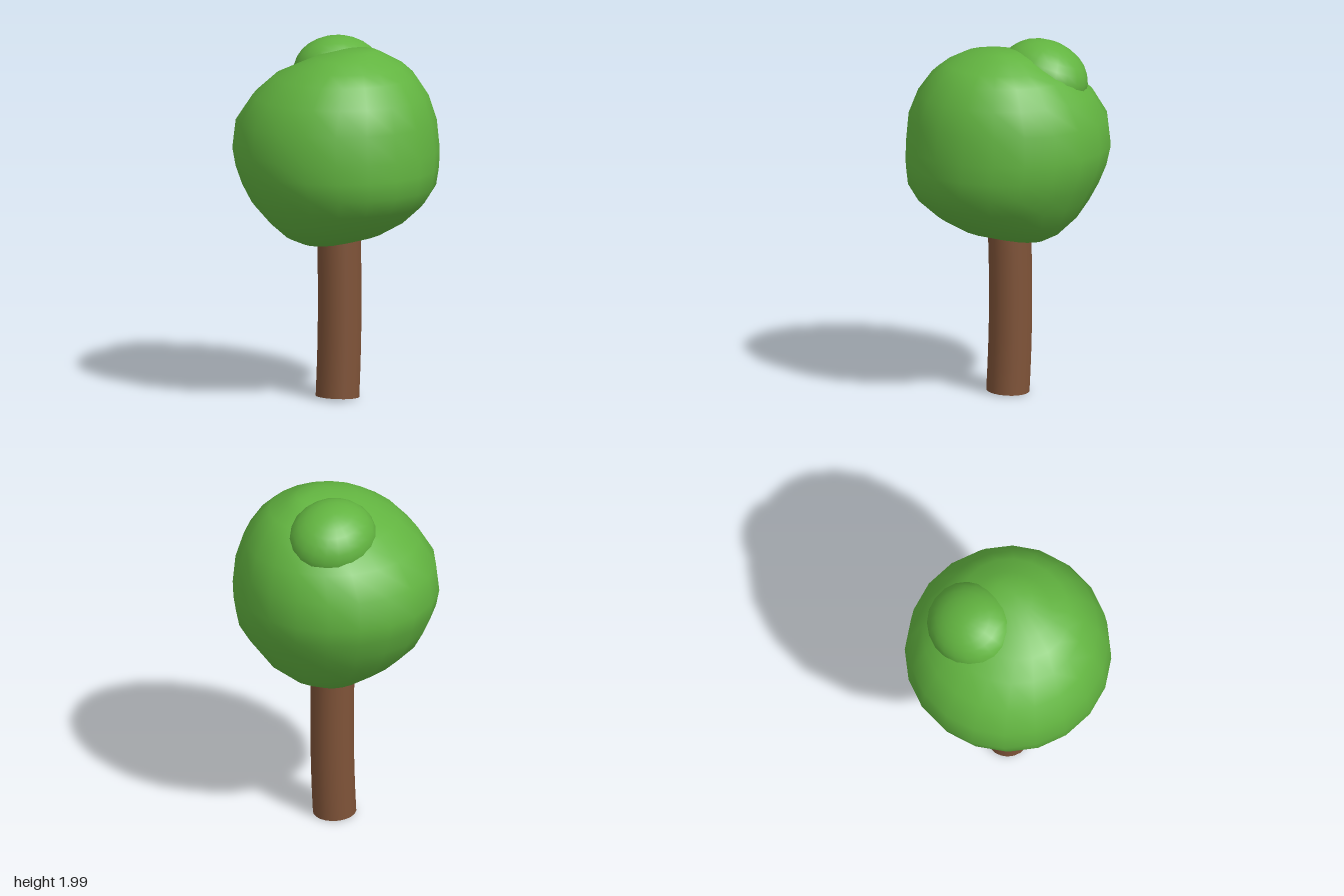
import * as THREE from 'three';
import { mergeVertices } from 'three/addons/utils/BufferGeometryUtils.js';

const leafGreen = new THREE.MeshStandardMaterial({ color: 0x62b440 });
leafGreen.name = 'leafGreen';
const barkBrown = new THREE.MeshStandardMaterial({ color: 0x7f5338 });
barkBrown.name = 'barkBrown';

// Crown rings from top to bottom: y, centre x, radius x, centre z, radius z
const crownRings = [
  [1.955, 0.05, 0, 0.13, 0],
  [1.95, 0.05, 0.11, 0.12, 0.09],
  [1.92, 0.02, 0.22, 0.09, 0.18],
  [1.87, 0.015, 0.315, 0.085, 0.285],
  [1.81, 0.01, 0.4, 0.055, 0.385],
  [1.7, 0.005, 0.485, 0.03, 0.485],
  [1.56, 0, 0.55, 0.005, 0.555],
  [1.4, 0, 0.563, 0.003, 0.575],
  [1.3, -0.005, 0.555, 0.016, 0.562],
  [1.2, -0.01, 0.525, 0.032, 0.538],
  [1.1, -0.012, 0.472, 0.027, 0.478],
  [1.0, 0, 0.4, 0.015, 0.37],
  [0.92, 0, 0.31, -0.005, 0.245],
  [0.87, 0.015, 0.185, -0.05, 0.125],
  [0.86, 0.03, 0.1, -0.06, 0.07],
  [0.857, 0.03, 0, -0.06, 0],
];

// Sphere grid reshaped ring by ring into the lopsided crown
function crownGeometry() {
  const sides = 20;
  const geo = new THREE.SphereGeometry(1, sides, crownRings.length - 1);
  const pos = geo.attributes.position;
  crownRings.forEach(([y, cx, rx, cz, rz], row) => {
    for (let i = 0; i <= sides; i++) {
      const a = ((i % sides) / sides) * Math.PI * 2;
      pos.setXYZ(row * (sides + 1) + i, cx - Math.cos(a) * rx, y, cz + Math.sin(a) * rz);
    }
  });
  geo.deleteAttribute('uv');
  geo.deleteAttribute('normal');
  const welded = mergeVertices(geo);
  welded.computeVertexNormals();
  return welded;
}

// Cylinder bent along a shallow arc, its ends square to the arc
function trunkGeometry() {
  const height = 1;
  const geo = new THREE.CylinderGeometry(0.12, 0.12, height, 20, 8);
  const pos = geo.attributes.position;
  for (let i = 0; i < pos.count; i++) {
    const x = pos.getX(i);
    const y = pos.getY(i) + height / 2;
    const d = y - 0.55;
    const slope = -0.14 * d;
    pos.setXYZ(i, x + 0.025 - 0.07 * d * d, y + 0.008 - x * slope * 0.8, pos.getZ(i) + 0.01);
  }
  return geo;
}

export function createModel() {
  const tree = new THREE.Group();
  tree.name = 'tree';
  const add = (name, geometry, material) => {
    const mesh = new THREE.Mesh(geometry, material);
    mesh.name = name;
    tree.add(mesh);
    return mesh;
  };

  add('trunk', trunkGeometry(), barkBrown);
  add('crown', crownGeometry(), leafGreen);

  // Small tilted tuft on top, towards the back left
  const tuft = add('tuft', new THREE.SphereGeometry(1, 20, 14), leafGreen);
  tuft.scale.set(0.26, 0.195, 0.235);
  tuft.rotation.set(-0.25, 0, -0.22);
  tuft.position.set(0.165, 1.795, -0.11);

  return tree;
}
